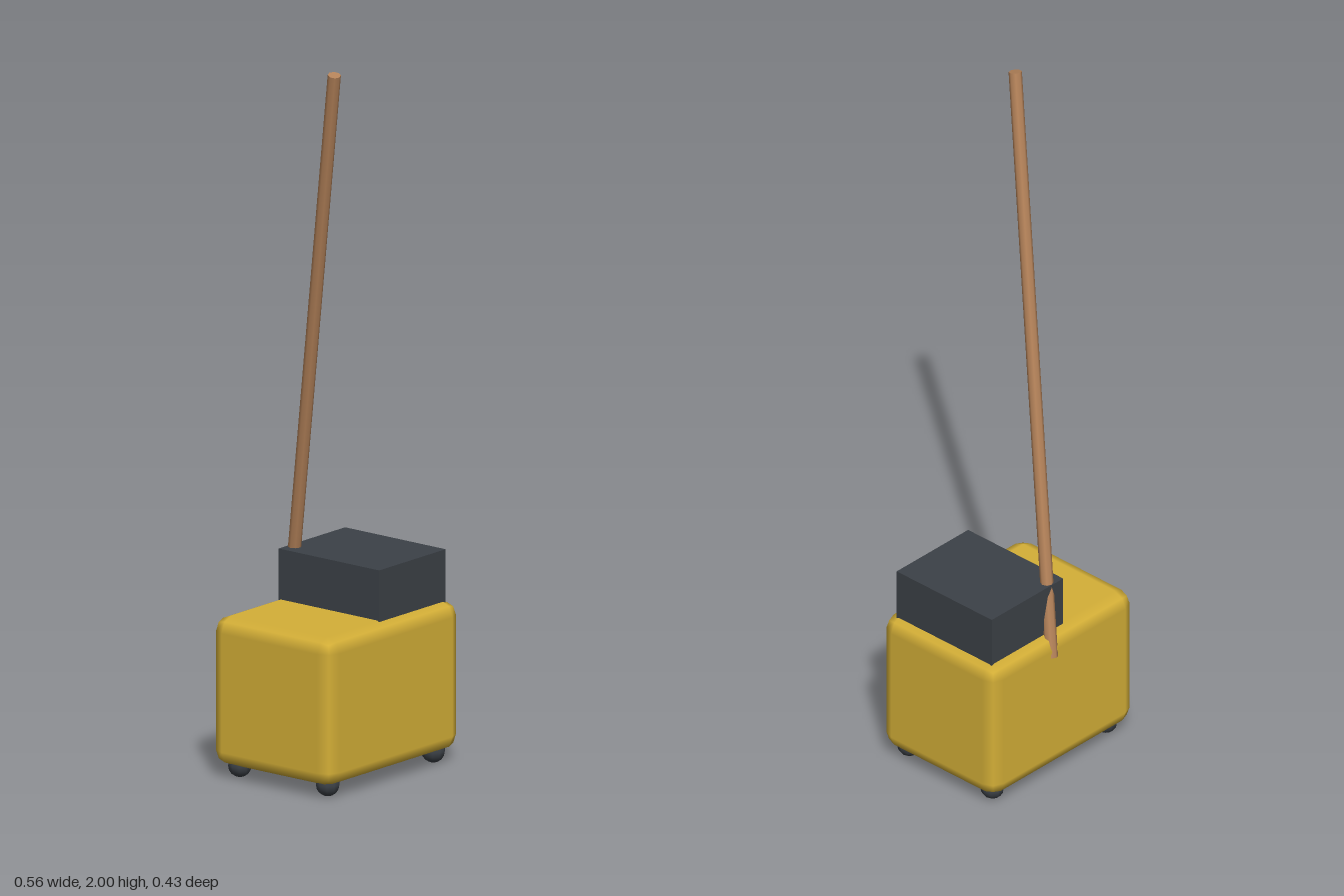
import * as THREE from 'three';
import { RoundedBoxGeometry } from 'three/addons/geometries/RoundedBoxGeometry.js';

function paint(name, color) {
  const material = new THREE.MeshStandardMaterial({ color });
  material.name = name;
  return material;
}

export function createModel() {
  const model = new THREE.Group();
  model.name = 'rollingBucket';

  const yellow = paint('yellow', 0xd4af37);
  const charcoal = paint('charcoal', 0x3c4147);
  const wood = paint('wood', 0xb5835a);

  function add(name, geometry, material, x, y, z) {
    const mesh = new THREE.Mesh(geometry, material);
    mesh.name = name;
    mesh.position.set(x, y, z);
    model.add(mesh);
    return mesh;
  }

  // Rounded tub
  add('body', new RoundedBoxGeometry(0.56, 0.415, 0.418, 1, 0.042), yellow, 0, 0.242, 0.004);

  // Wringer block on the left half of the top
  add('wringer', new THREE.BoxGeometry(0.28, 0.15, 0.35), charcoal, 0.11, 0.515, 0.004);

  // Four ball casters
  const ball = new THREE.SphereGeometry(0.033, 10, 8);
  for (const x of [-0.222, 0.222]) {
    for (const z of [-0.147, 0.159]) {
      add('caster', ball, charcoal, x, 0.033, z);
    }
  }

  // Leaning handle, from the back edge up over the front right
  const bottom = new THREE.Vector3(0.042, 0.385, -0.195);
  const top = new THREE.Vector3(-0.185, 1.996, 0.151);
  const axis = top.clone().sub(bottom);
  const middle = top.clone().add(bottom).multiplyScalar(0.5);
  const pole = new THREE.CylinderGeometry(0.018, 0.018, axis.length(), 8);
  const handle = add('handle', pole, wood, middle.x, middle.y, middle.z);
  handle.quaternion.setFromUnitVectors(new THREE.Vector3(0, 1, 0), axis.normalize());

  return model;
}
